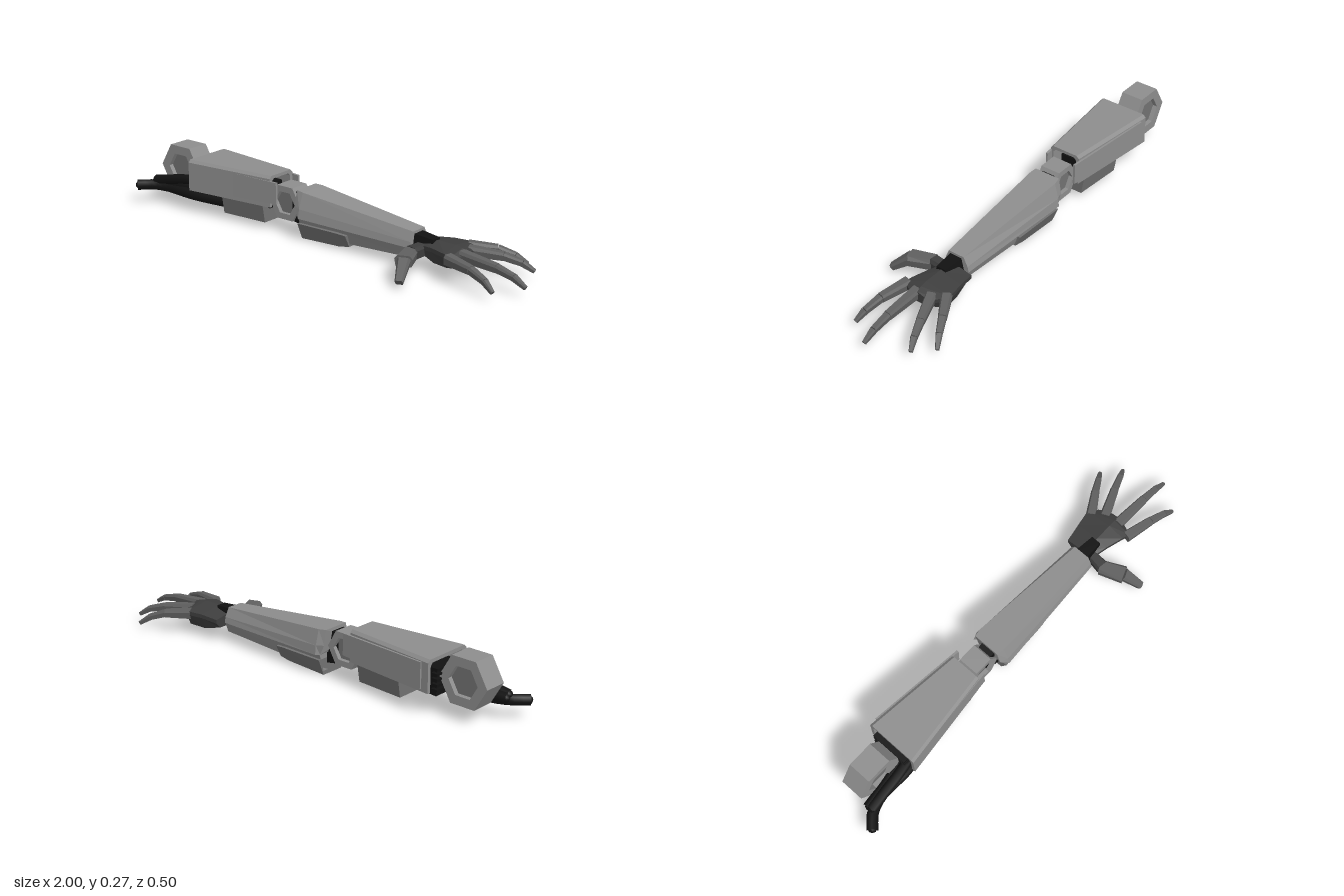
import * as THREE from 'three';

const mat = (name, color) => {
  const m = new THREE.MeshStandardMaterial({ color });
  m.name = name;
  return m;
};

// Flat-faced solid through rings of [x, y, z]; each ring runs top, +z, bottom, -z.
function loft(rings) {
  const pos = [];
  const tri = (a, b, c) => pos.push(...a, ...b, ...c);
  for (let s = 0; s < rings.length - 1; s++) {
    const a = rings[s], b = rings[s + 1];
    for (let i = 0; i < a.length; i++) {
      const j = (i + 1) % a.length;
      tri(a[i], a[j], b[j]);
      tri(a[i], b[j], b[i]);
    }
  }
  const first = rings[0], last = rings[rings.length - 1];
  const caps = (r) => THREE.ShapeUtils.triangulateShape(r.map((p) => new THREE.Vector2(p[1], p[2])), []);
  for (const [i, j, k] of caps(first)) tri(first[k], first[j], first[i]);
  for (const [i, j, k] of caps(last)) tri(last[i], last[j], last[k]);
  const g = new THREE.BufferGeometry();
  g.setAttribute('position', new THREE.Float32BufferAttribute(pos, 3));
  g.computeVertexNormals();
  return g;
}

// Trapezoid ring: top edge z0t..z1t at y1, bottom edge z0b..z1b at y0
const trap = (x, y0, y1, z0t, z1t, z0b = z0t, z1b = z1t) =>
  [[x, y1, z0t], [x, y1, z1t], [x, y0, z1b], [x, y0, z0b]];

// Channel ring, open at the bottom, with chamfered top corners
function channel(x, y0, y1, z0, z1, t) {
  const c = 0.012;
  return [[y1, z0 + c], [y1, z1 - c], [y1 - c, z1], [y0, z1], [y0, z1 - t],
    [y1 - t - c, z1 - t], [y1 - t, z1 - t - c], [y1 - t, z0 + t + c],
    [y1 - t - c, z0 + t], [y0, z0 + t], [y0, z0], [y1 - c, z0]].map(([y, z]) => [x, y, z]);
}

// Tapered block from p to q with chamfered upper edges
function bar(p, q, w0, h0, w1, h1) {
  const a = new THREE.Vector3(...p), d = new THREE.Vector3(...q).sub(a);
  const len = d.length();
  d.normalize();
  const side = new THREE.Vector3().crossVectors(d, new THREE.Vector3(0, 1, 0)).normalize();
  const up = new THREE.Vector3().crossVectors(side, d);
  const ring = (x, w, h) => [[x, h / 2, -w * 0.34], [x, h / 2, w * 0.34], [x, h * 0.2, w / 2],
    [x, -h / 2, w * 0.42], [x, -h / 2, -w * 0.42], [x, h * 0.2, -w / 2]];
  return loft([ring(0, w0, h0), ring(len, w1, h1)])
    .applyMatrix4(new THREE.Matrix4().makeBasis(d, side, up.clone()).makeBasis(d, up, side).setPosition(a));
}

export function createModel() {
  const model = new THREE.Group();
  const light = mat('light grey plating', 0x8e8e8e);
  const mid = mat('mid grey plating', 0x727272);
  const finger = mat('finger grey', 0x606060);
  const dark = mat('dark grey palm', 0x3e3e3e);
  const black = mat('black inner frame', 0x121212);

  const add = (name, geometry, material, parent = model) => {
    const mesh = new THREE.Mesh(geometry, material);
    mesh.name = name;
    parent.add(mesh);
    return mesh;
  };

  // Hexagonal joints with a recess on both faces
  const hexPoints = (r) => Array.from({ length: 6 }, (_, i) =>
    new THREE.Vector2(r * Math.cos(i * Math.PI / 3), r * Math.sin(i * Math.PI / 3)));
  const hexJoint = (name, x, y, z0, z1, r, inner) => {
    const joint = new THREE.Group();
    joint.name = name;
    const shape = new THREE.Shape(hexPoints(r));
    shape.holes.push(new THREE.Path(hexPoints(inner).reverse()));
    const rim = new THREE.ExtrudeGeometry(shape, { depth: z1 - z0, bevelEnabled: false });
    add('jointRim', rim, light, joint);
    const core = new THREE.CylinderGeometry(inner, inner, (z1 - z0) * 0.6, 6).toNonIndexed();
    core.rotateY(Math.PI / 6).rotateX(Math.PI / 2).translate(0, 0, (z1 - z0) / 2);
    core.rotateZ(Math.PI / 3 * 0.5 + Math.PI / 6);
    core.computeVertexNormals();
    add('jointCore', core, mid, joint);
    joint.position.set(x, y, z0);
    model.add(joint);
  };
  hexJoint('shoulderJoint', -0.815, 0.17, -0.075, 0.03, 0.115, 0.07);
  hexJoint('elbowJoint', -0.2, 0.135, -0.065, 0.027, 0.085, 0.055);

  // Upper arm: open shell, inner frame with ribs, block underneath
  add('upperArmShell', loft([
    channel(-0.695, 0.108, 0.247, -0.138, 0.1, 0.016),
    channel(-0.26, 0.108, 0.247, -0.092, 0.054, 0.014)]), light);
  for (const [z0, z1, zEnd, name] of [[0.088, 0.098, 0.045, 'leftSidePlate'], [-0.136, -0.126, -0.098, 'rightSidePlate']]) {
    add(name, loft([trap(-0.66, 0.12, 0.232, z0 - 0.006, z1 - 0.006),
      trap(-0.225, 0.13, 0.225, zEnd, zEnd + 0.01)]), light);
  }
  add('upperArmFrame', loft([
    trap(-0.7, 0.085, 0.2, -0.09, 0.05), trap(-0.29, 0.09, 0.2, -0.06, 0.02)]), black);
  for (let i = 0; i < 5; i++) {
    add('frameRib', new THREE.BoxGeometry(0.03, 0.008, 0.17).translate(-0.7, 0.115 + i * 0.022, -0.02), black);
  }
  add('upperArmBlock', loft([
    trap(-0.525, 0.03, 0.115, -0.11, 0.072, -0.095, 0.057),
    trap(-0.3, 0.03, 0.115, -0.095, 0.058, -0.08, 0.043)]), mid);

  // Cables at the shoulder end
  const cable = (pts, r) => add('shoulderCable', new THREE.TubeGeometry(
    new THREE.CatmullRomCurve3(pts.map((p) => new THREE.Vector3(...p))), 16, r, 8), black);
  const cableEnd = (x, y, z) => add('cableEnd', new THREE.SphereGeometry(0.02, 8, 6).translate(x, y, z), black);
  cable([[-0.985, 0.082, 0.135], [-0.93, 0.083, 0.085], [-0.86, 0.08, 0.062], [-0.7, 0.075, 0.062], [-0.5, 0.07, 0.03]], 0.024);
  cable([[-0.925, 0.105, 0.075], [-0.85, 0.12, 0.07], [-0.76, 0.138, 0.065], [-0.66, 0.145, 0.05]], 0.022);
  cable([[-0.93, 0.095, 0.06], [-0.8, 0.1, 0.045], [-0.68, 0.1, 0.02], [-0.5, 0.09, 0]], 0.025);
  cableEnd(-0.978, 0.082, 0.128);
  cableEnd(-0.92, 0.106, 0.075);
  cableEnd(-0.92, 0.095, 0.06);

  // Elbow link
  add('elbowLink', loft([trap(-0.17, 0.06, 0.19, -0.045, 0.012), trap(-0.09, 0.05, 0.2, -0.055, 0.022)]), black);

  // Forearm: upper shell, lower shell and pod
  add('forearmShell', loft([
    [[-0.125, 0.21, -0.088], [-0.125, 0.21, 0.033], [-0.125, 0.145, 0.05], [-0.105, 0.1, 0.055], [-0.105, 0.1, -0.102], [-0.125, 0.145, -0.1]],
    [[-0.09, 0.207, -0.094], [-0.09, 0.207, 0.037], [-0.09, 0.14, 0.062], [-0.09, 0.1, 0.07], [-0.09, 0.1, -0.116], [-0.09, 0.14, -0.112]],
    [[0.47, 0.155, -0.06], [0.47, 0.155, 0.015], [0.47, 0.115, 0.032], [0.47, 0.09, 0.037], [0.47, 0.09, -0.085], [0.47, 0.115, -0.08]]]), light);
  add('forearmUnderside', loft([
    trap(-0.1, 0.02, 0.1, -0.1, 0.056, -0.075, 0.03),
    trap(0.475, 0.042, 0.09, -0.078, 0.03, -0.06, 0.012)]), light);
  add('forearmPod', loft([
    trap(-0.1, 0.002, 0.075, -0.105, 0.062, -0.075, 0.032),
    trap(0.1, 0.01, 0.075, -0.1, 0.056, -0.072, 0.029),
    trap(0.15, 0.018, 0.072, -0.096, 0.052, -0.07, 0.025)]), mid);

  // Wrist and palm
  add('wrist', loft([
    trap(0.46, 0.075, 0.145, -0.05, 0.008, -0.065, 0.02),
    trap(0.56, 0.085, 0.137, -0.04, 0.004, -0.05, 0.012)]), black);
  const palmRing = (x, yb, yt, z0, z1, zm) => [[x, yt, zm], [x, yt - 0.018, z1], [x, yt - 0.035, z1],
    [x, yb, z1 - 0.02], [x, yb, z0 + 0.02], [x, yt - 0.035, z0], [x, yt - 0.018, z0]];
  add('palm', loft([
    palmRing(0.49, 0.065, 0.123, -0.115, 0.012, -0.02),
    palmRing(0.57, 0.045, 0.132, -0.127, 0.032, -0.02),
    palmRing(0.65, 0.05, 0.132, -0.14, 0.055, -0.02),
    palmRing(0.685, 0.06, 0.127, -0.11, 0.066, -0.02),
    palmRing(0.71, 0.07, 0.12, -0.082, 0.01, -0.02)]), dark);

  // Fingers: three tapered segments along each line
  const digits = [
    ['indexFinger', [0.67, 0.1, 0.058], [0.8, 0.093, 0.087], [0.875, 0.07, 0.103], [0.92, 0.038, 0.115]],
    ['middleFinger', [0.69, 0.103, -0.007], [0.86, 0.09, -0.002], [0.94, 0.072, 0], [0.995, 0.042, 0.002]],
    ['ringFinger', [0.68, 0.102, -0.07], [0.81, 0.093, -0.125], [0.88, 0.073, -0.152], [0.925, 0.042, -0.172]],
    ['littleFinger', [0.645, 0.1, -0.118], [0.745, 0.093, -0.18], [0.805, 0.07, -0.213], [0.85, 0.036, -0.24]],
  ];
  for (const [name, ...p] of digits) {
    const g = new THREE.Group();
    g.name = name;
    model.add(g);
    add('knuckleSegment', bar(p[0], p[1], 0.046, 0.042, 0.036, 0.032), finger, g);
    add('middleSegment', bar(p[1], p[2], 0.034, 0.03, 0.027, 0.025), finger, g);
    add('tipSegment', bar(p[2], p[3], 0.028, 0.026, 0.016, 0.016), finger, g);
  }

  // Thumb
  const thumb = new THREE.Group();
  thumb.name = 'thumb';
  model.add(thumb);
  add('thumbMount', bar([0.51, 0.09, -0.01], [0.5, 0.088, 0.07], 0.045, 0.05, 0.055, 0.05), dark, thumb);
  add('thumbBase', bar([0.495, 0.085, 0.065], [0.535, 0.088, 0.165], 0.06, 0.05, 0.075, 0.046), finger, thumb);
  add('thumbTip', bar([0.535, 0.09, 0.16], [0.568, 0.028, 0.236], 0.056, 0.042, 0.034, 0.026), finger, thumb);

  return model;
}
